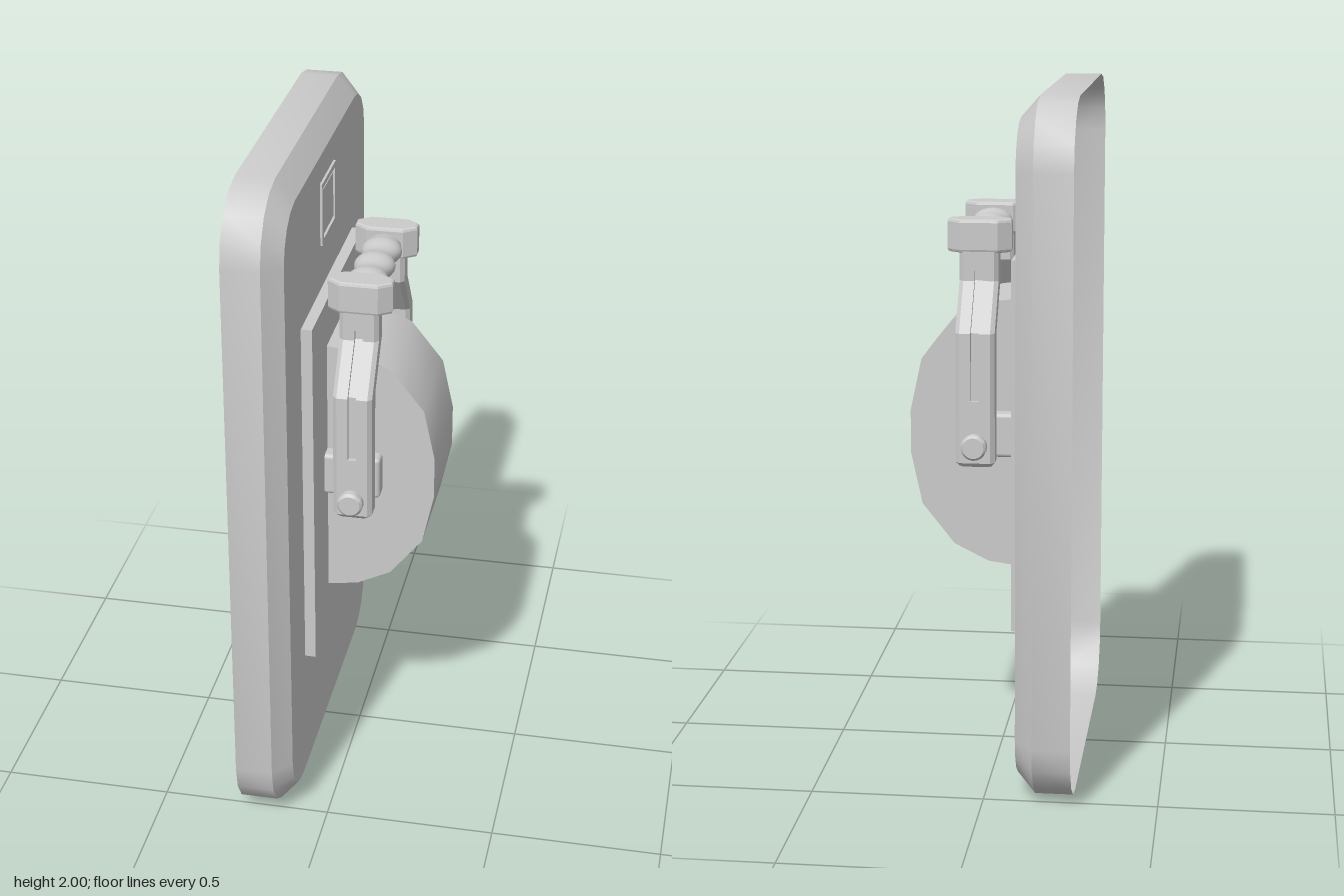
import * as THREE from 'three';
import { toCreasedNormals } from 'three/addons/utils/BufferGeometryUtils.js';
import { RoundedBoxGeometry } from 'three/addons/geometries/RoundedBoxGeometry.js';

const grey = new THREE.MeshStandardMaterial({ color: 0xcccccc });
const greyThin = new THREE.MeshStandardMaterial({ color: 0xcccccc, side: THREE.DoubleSide });

function add(parent, name, geometry, x = 0, y = 0, z = 0, material = grey) {
  const mesh = new THREE.Mesh(geometry, material);
  mesh.name = name;
  mesh.position.set(x, y, z);
  parent.add(mesh);
  return mesh;
}

// Skin over loops of equal length, with optional fan caps
function loft(loops, capStart, capEnd, crease = 0.5) {
  const n = loops[0].length, index = [];
  for (let k = 0; k < loops.length - 1; k++) {
    for (let i = 0; i < n; i++) {
      const a = k * n + i, b = k * n + (i + 1) % n;
      index.push(a, b, b + n, a, b + n, a + n);
    }
  }
  const last = (loops.length - 1) * n;
  for (let i = 1; i < n - 1; i++) {
    if (capStart) index.push(0, i + 1, i);
    if (capEnd) index.push(last, last + i, last + i + 1);
  }
  const geo = new THREE.BufferGeometry();
  geo.setAttribute('position', new THREE.Float32BufferAttribute(loops.flat(2), 3));
  geo.setIndex(index);
  return toCreasedNormals(geo, crease);
}

// Rounded rectangle facing +x, centred at y = 1
function roundedLoop(x, hy, hz, r) {
  const loop = [], segments = 4;
  const corners = [[1, 1], [-1, 1], [-1, -1], [1, -1]];
  corners.forEach(([sy, sz], q) => {
    for (let i = 0; i <= segments; i++) {
      const a = (q + i / segments) * Math.PI / 2;
      loop.push([x, 1 + sy * (hy - r) + r * Math.cos(a), sz * (hz - r) + r * Math.sin(a)]);
    }
  });
  return loop;
}

// Arm cross-section with a groove of depth d in its outer face
function armLoop(y, z, d, inset = 0) {
  const t = 0.035 - inset, w = 0.056 - inset, c = 0.012, g = 0.012;
  return [
    [t, c - w], [t, -g], [t - d, -g], [t - d, g], [t, g], [t, w - c], [t - c, w],
    [c - t, w], [-t, w - c], [-t, c - w], [c - t, -w], [t - c, -w],
  ].map(([dz, dx]) => [dx, y, z + dz]);
}

function lathe(points, segments) {
  const geo = new THREE.LatheGeometry(points.map(([r, h]) => new THREE.Vector2(r, h)), segments);
  return geo.rotateX(Math.PI / 2);
}

export function createModel() {
  const model = new THREE.Group();
  model.name = 'hatchPanel';

  // Hollow panel, open at the back
  add(model, 'panelShell', loft([
    roundedLoop(-0.256, 1, 0.59, 0.19),
    roundedLoop(-0.147, 1, 0.59, 0.19),
    roundedLoop(-0.095, 0.94, 0.54, 0.14),
  ], false, true), 0, 0, 0, greyThin);

  // Raised backing plate
  add(model, 'backingPlate', new THREE.BoxGeometry(0.036, 1.08, 0.71), -0.081, 1, 0);

  // Square indicator: frame and inner button
  const frame = new THREE.Shape([[-1, -1], [1, -1], [1, 1], [-1, 1]]
    .map(([a, b]) => new THREE.Vector2(a * 0.093, b * 0.093)));
  frame.holes.push(new THREE.Path([[-1, -1], [-1, 1], [1, 1], [1, -1]]
    .map(([a, b]) => new THREE.Vector2(a * 0.077, b * 0.077))));
  const frameGeo = new THREE.ExtrudeGeometry(frame, { depth: 0.012, bevelEnabled: false });
  frameGeo.rotateY(Math.PI / 2);
  add(model, 'indicatorFrame', frameGeo, -0.1, 1.768, 0);
  add(model, 'indicatorButton', new THREE.BoxGeometry(0.008, 0.134, 0.134), -0.095, 1.768, 0);

  // Half drum
  const upper = [[-0.065, 0.4], [0.025, 0.387], [0.125, 0.337], [0.22, 0.217], [0.253, 0.064]];
  const rim = [...upper, ...upper.map(([x, y]) => [x, -y]).reverse()];
  const drum = new THREE.ExtrudeGeometry(
    new THREE.Shape(rim.map(([x, y]) => new THREE.Vector2(x, y))),
    { depth: 0.33, bevelEnabled: false });
  add(model, 'drum', toCreasedNormals(drum, 0.8), 0, 1, -0.165);

  // Pivot brackets beside the drum
  for (const s of [1, -1]) {
    add(model, 'pivotBracket', new RoundedBoxGeometry(0.2, 0.13, 0.055, 2, 0.012), 0, 1.003, s * 0.182);
  }

  // Handle, symmetric about its own upright axis
  const handle = new THREE.Group();
  handle.name = 'handle';
  handle.position.x = 0.043;
  model.add(handle);

  const d = 0.014;
  const armGeo = loft([
    armLoop(0.938, 0.299, 0, 0.01), armLoop(0.95, 0.299, 0),
    armLoop(1.13, 0.299, 0), armLoop(1.13, 0.299, d),
    armLoop(1.325, 0.299, d), armLoop(1.46, 0.201, d),
    armLoop(1.49, 0.201, d), armLoop(1.49, 0.201, 0), armLoop(1.57, 0.201, 0),
  ], true, true, 0.4);

  const capShape = new THREE.Shape([
    [0.084, -0.012], [0.084, 0.012], [0.052, 0.035], [-0.052, 0.035],
    [-0.084, 0.012], [-0.084, -0.012], [-0.052, -0.035], [0.052, -0.035],
  ].map(([x, y]) => new THREE.Vector2(x, y)));
  const capGeo = new THREE.ExtrudeGeometry(capShape, {
    depth: 0.077, bevelSize: 0.008, bevelThickness: 0.009, bevelSegments: 2,
  });
  capGeo.rotateX(-Math.PI / 2);

  const boltGeo = toCreasedNormals(lathe([
    [0, 0.16], [0.028, 0.16], [0.028, 0.342], [0.037, 0.346], [0.037, 0.366], [0.03, 0.374], [0, 0.374],
  ], 20), 0.6);

  for (const angle of [0, Math.PI]) {
    const side = new THREE.Group();
    side.name = 'handleSide';
    side.rotation.y = angle;
    handle.add(side);
    add(side, 'arm', armGeo);
    add(side, 'armCap', capGeo, 0, 1.549, 0.195);
    add(side, 'pivotBolt', boltGeo, 0, 1.003, 0);
  }

  // Grip with finger waves
  const profile = [];
  for (let i = 0; i <= 30; i++) {
    const z = -0.16 + 0.32 * i / 30;
    profile.push([0.054 + 0.006 * Math.cos(z * Math.PI * 2 / 0.105), z]);
  }
  const gripGeo = lathe(profile, 20).scale(1, 0.66, 1);
  add(handle, 'grip', gripGeo, 0, 1.585, 0);

  return model;
}
